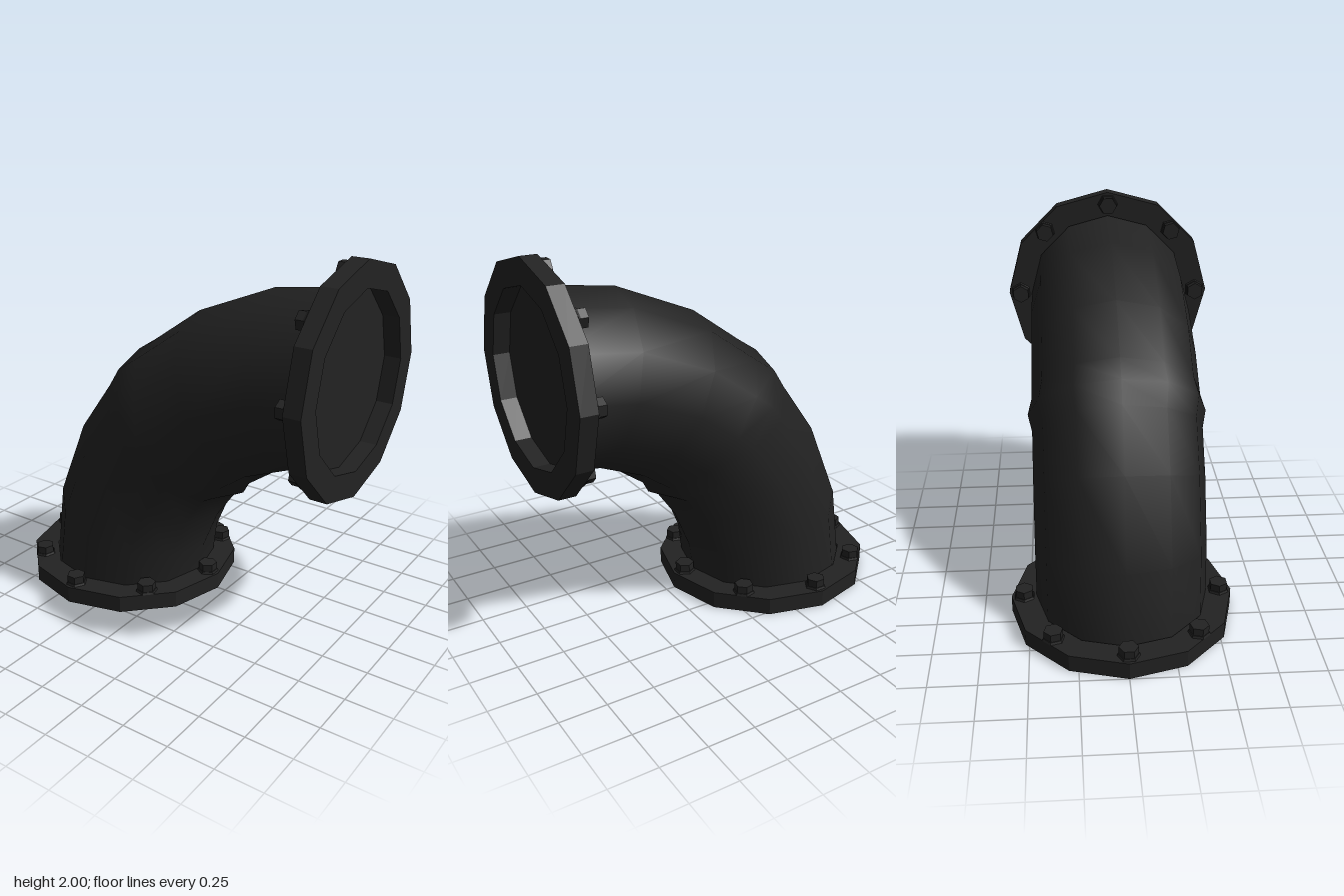
import * as THREE from 'three';

const SIDES = 12, BEND = 1.4, BORE = 0.465, RIM = 0.6, THICK = 0.092;

const iron = new THREE.MeshStandardMaterial({ color: 0x222222 });
iron.name = 'black iron';

function faceted(geometry) {
  const g = geometry.toNonIndexed();
  g.computeVertexNormals();
  return g;
}

function add(parent, name, geometry) {
  const mesh = new THREE.Mesh(geometry, iron);
  mesh.name = name;
  parent.add(mesh);
  return mesh;
}

// Quarter-turn pipe with a raised weld ring halfway, swept about (1, 0)
function elbowGeometry() {
  const stations = [[0, BORE], [15, BORE], [30, BORE], [41, BORE], [45, 0.488],
    [49, BORE], [60, BORE], [75, BORE], [90, BORE]];
  const pos = [], index = [];
  stations.forEach(([deg, r], i) => {
    const t = THREE.MathUtils.degToRad(deg);
    for (let j = 0; j < SIDES; j++) {
      const a = (j / SIDES) * Math.PI * 2;
      const d = BEND + r * Math.cos(a);
      pos.push(1 - d * Math.cos(t), d * Math.sin(t), r * Math.sin(a));
      if (i === stations.length - 1) continue;
      const p = i * SIDES + j, q = i * SIDES + (j + 1) % SIDES;
      index.push(p, q, p + SIDES, q, q + SIDES, p + SIDES);
    }
  });
  const g = new THREE.BufferGeometry();
  g.setAttribute('position', new THREE.Float32BufferAttribute(pos, 3));
  g.setIndex(index);
  g.computeVertexNormals();
  return g;
}

// Flange lying on y = 0 with its opening facing down and bolts on top
function makeFlange(name) {
  const flange = new THREE.Group();
  flange.name = name;
  const inner = BORE - 0.003;
  const profile = [[inner, 0], [RIM, 0], [RIM, THICK], [inner, THICK], [inner, 0]]
    .map(([x, y]) => new THREE.Vector2(x, y));
  add(flange, 'flangeRing', faceted(new THREE.LatheGeometry(profile, SIDES)));

  // Disc closing the recessed opening
  const disc = add(flange, 'innerDisc', new THREE.CircleGeometry(BORE, SIDES));
  disc.rotation.x = Math.PI / 2;
  disc.position.y = THICK - 0.002;

  // Eight hex bolts, each on a thin washer
  const head = faceted(new THREE.CylinderGeometry(0.051, 0.051, 0.045, 6));
  const washer = faceted(new THREE.CylinderGeometry(0.055, 0.06, 0.012, 6));
  for (let i = 0; i < 8; i++) {
    const bolt = new THREE.Group();
    bolt.name = 'bolt';
    const a = (i / 8) * Math.PI * 2;
    bolt.position.set(Math.cos(a) * 0.53, THICK, Math.sin(a) * 0.53);
    bolt.rotation.y = -a;
    add(bolt, 'boltWasher', washer).position.y = 0.006;
    add(bolt, 'boltHead', head).position.y = 0.0305;
    flange.add(bolt);
  }
  return flange;
}

export function createModel() {
  const model = new THREE.Group();
  model.name = 'pipeElbow';
  add(model, 'elbowPipe', elbowGeometry());

  const base = makeFlange('baseFlange');
  base.position.set(1 - BEND, 0, 0);
  const outlet = makeFlange('outletFlange');
  outlet.position.set(1, BEND, 0);
  outlet.rotation.z = Math.PI / 2;
  model.add(base, outlet);
  return model;
}
